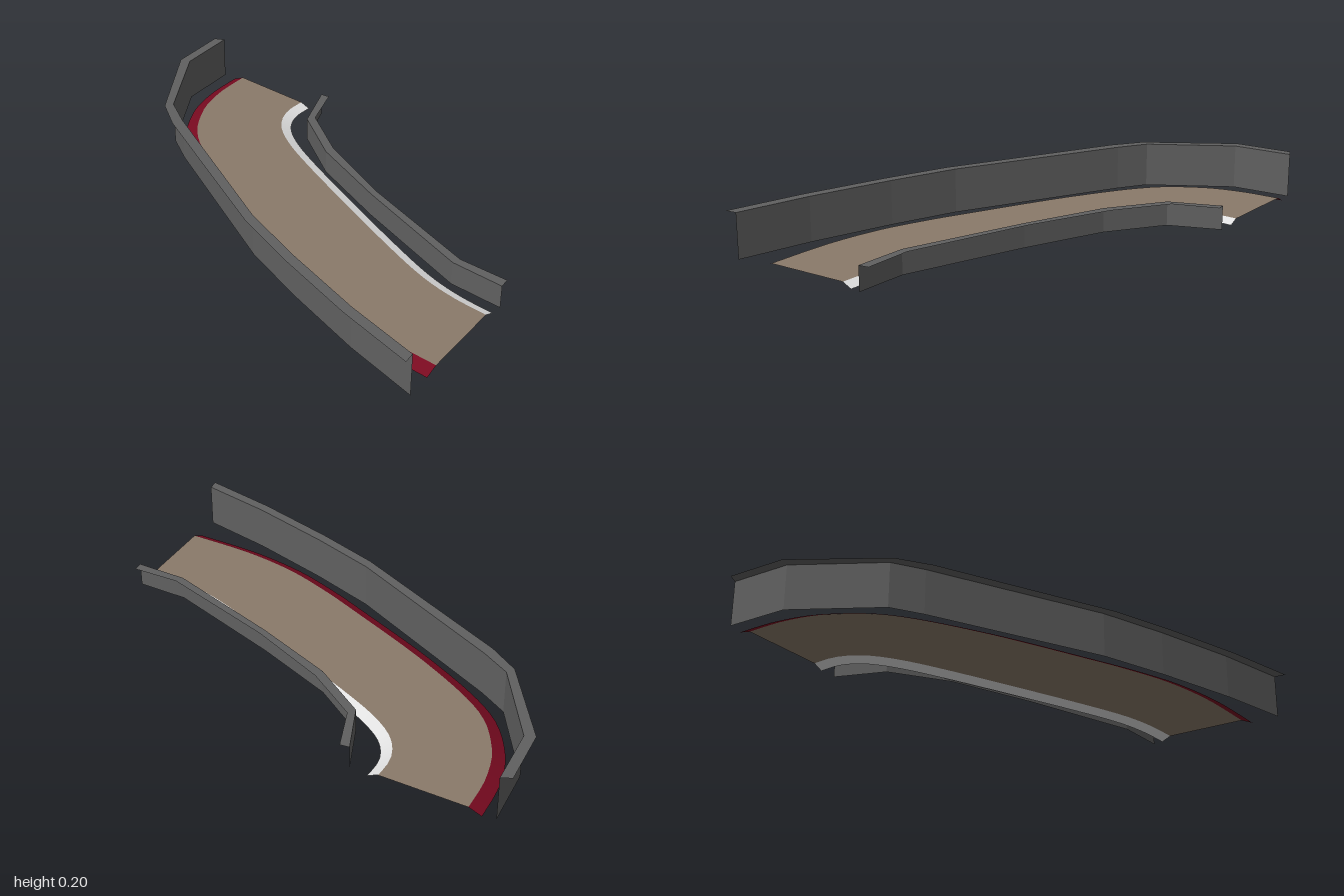
import * as THREE from 'three';

const mat = (name, color) => {
  const m = new THREE.MeshStandardMaterial({ color, side: THREE.DoubleSide });
  m.name = name;
  return m;
};

// Sheet joining two edges with equal point counts
function strip(name, a, b, material, flat) {
  const pos = [], index = [];
  a.forEach((p, i) => {
    pos.push(...p, ...b[i]);
    if (i) {
      const k = 2 * i;
      index.push(k - 2, k, k - 1, k, k + 1, k - 1);
    }
  });
  let geo = new THREE.BufferGeometry();
  geo.setAttribute('position', new THREE.Float32BufferAttribute(pos, 3));
  geo.setIndex(index);
  if (flat) geo = geo.toNonIndexed();
  geo.computeVertexNormals();
  const mesh = new THREE.Mesh(geo, material);
  mesh.name = name;
  return mesh;
}

const raise = (pts, y) => pts.map(([x, z]) => [x, y, z]);

// Smooth plan curve plus a parallel curve shifted sideways by width
function edges(points, width, steps = 48) {
  const curve = new THREE.SplineCurve(points.map(([x, z]) => new THREE.Vector2(x, z)));
  const rim = [], offset = [];
  for (let i = 0; i <= steps; i++) {
    const p = curve.getPointAt(i / steps), t = curve.getTangentAt(i / steps);
    rim.push([p.x, p.y]);
    offset.push([p.x + t.y * width, p.y - t.x * width]);
  }
  return { rim, offset };
}

// Barrier: upright sheet with a flat lip turned away from the road
function barrier(name, face, lip, bottom, top, material) {
  const group = new THREE.Group();
  group.name = name;
  const topEdge = raise(face, top), lipEdge = raise(lip, top);
  const outside = lip[3][1] > face[3][1];
  group.add(strip(name + 'Face', raise(face, bottom), topEdge, material, true));
  group.add(strip(name + 'Lip', outside ? lipEdge : topEdge, outside ? topEdge : lipEdge, material, true));
  return group;
}

export function createModel() {
  const road = mat('road tan', 0x8a7a6a);
  const red = mat('kerb red', 0x780a20);
  const white = mat('kerb white', 0xe2e2e2);
  const grey = mat('barrier grey', 0x606060);
  const model = new THREE.Group();
  model.name = 'roadBend';

  // Road deck with kerbs sloping down on both sides
  const deckY = 0.025;
  const outer = edges([[-0.885, -0.812], [-0.897, -0.62], [-0.86, -0.42], [-0.73, -0.2], [-0.42, 0.045],
    [0, 0.305], [0.2, 0.42], [0.4, 0.515], [0.65, 0.59], [0.948, 0.638]], 0.053);
  const inner = edges([[-0.42, -0.755], [-0.43, -0.65], [-0.39, -0.55], [-0.29, -0.455], [-0.13, -0.35],
    [0.135, -0.195], [0.455, -0.015], [0.67, 0.095], [0.83, 0.15], [0.99, 0.18]], -0.045);
  model.add(strip('roadDeck', raise(outer.offset, deckY), raise(inner.offset, deckY), road));
  model.add(strip('outerKerb', raise(outer.rim, 0), raise(outer.offset, deckY), red));
  model.add(strip('innerKerb', raise(inner.offset, deckY), raise(inner.rim, 0.007), white));

  // Tall barrier on the outside of the bend
  model.add(barrier('outerBarrier',
    [[-0.94, -0.815], [-0.955, -0.55], [-0.785, -0.187], [-0.67, -0.096], [0, 0.35], [0.28, 0.49], [0.63, 0.645], [0.945, 0.76]],
    [[-0.985, -0.8], [-1, -0.54], [-0.81, -0.155], [-0.69, -0.05], [0, 0.4], [0.27, 0.535], [0.62, 0.69], [0.945, 0.81]],
    0.006, 0.2, grey));

  // Low barrier on the inside of the bend
  model.add(barrier('innerBarrier',
    [[-0.345, -0.745], [-0.285, -0.52], [-0.07, -0.33], [0.265, -0.145], [0.77, 0.1], [1, 0.135]],
    [[-0.305, -0.745], [-0.26, -0.55], [-0.055, -0.37], [0.275, -0.175], [0.785, 0.065], [1, 0.09]],
    0.007, 0.112, grey));

  return model;
}
